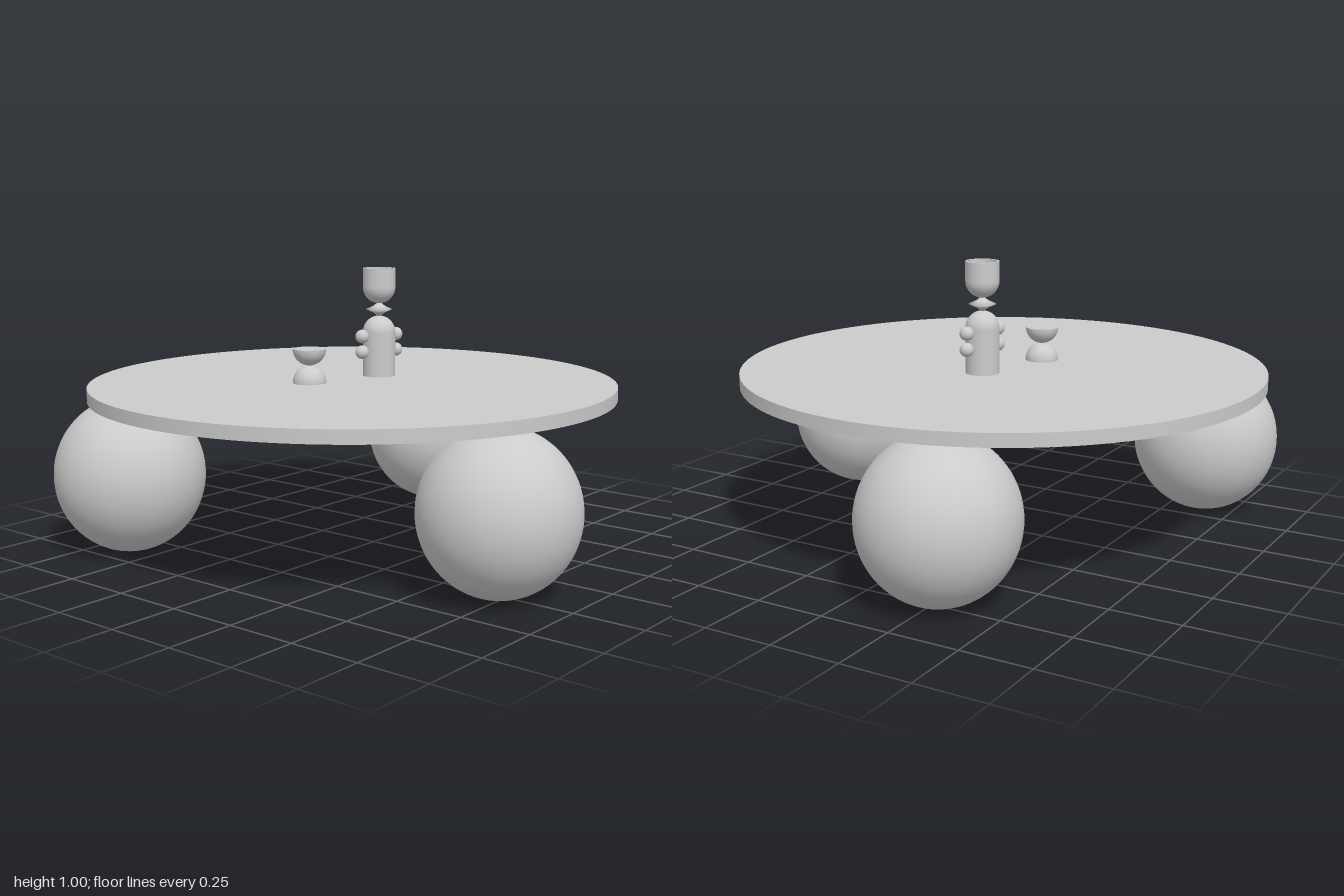
import * as THREE from 'three';

export function createModel() {
  const model = new THREE.Group();
  const material = new THREE.MeshStandardMaterial({ color: 0xcccccc });
  const add = (parent, name, geometry, x = 0, y = 0, z = 0) => {
    const mesh = new THREE.Mesh(geometry, material);
    mesh.name = name;
    mesh.position.set(x, y, z);
    parent.add(mesh);
    return mesh;
  };
  const group = (name, x, y, z) => {
    const g = new THREE.Group();
    g.name = name;
    g.position.set(x, y, z);
    model.add(g);
    return g;
  };
  const HALF = Math.PI / 2;
  const dome = (r) => new THREE.SphereGeometry(r, 48, 16, 0, Math.PI * 2, 0, HALF);
  const bowl = (r) => new THREE.SphereGeometry(r, 48, 16, 0, Math.PI * 2, HALF, HALF);
  const disc = (r) => new THREE.CircleGeometry(r, 48).rotateX(-HALF);

  // Round table top
  const cx = -0.053, cz = -0.053, topY = 0.608;
  add(model, 'tableTop', new THREE.CylinderGeometry(0.947, 0.947, 0.046, 128), cx, topY - 0.023, cz);

  // Three ball feet, slightly taller than wide
  for (let i = 0; i < 3; i++) {
    const a = THREE.MathUtils.degToRad(-15 + i * 120);
    const foot = add(model, 'ballFoot', new THREE.SphereGeometry(0.27, 64, 40),
      cx + 0.807 * Math.cos(a), 0.281, cz + 0.807 * Math.sin(a));
    foot.scale.y = 0.281 / 0.27;
  }

  // Small goblet: domed base below a half-round bowl
  const goblet = group('goblet', -0.198, topY, -0.135);
  add(goblet, 'gobletBase', dome(0.06), 0, 0.003, 0);
  add(goblet, 'gobletBaseSkirt', new THREE.CylinderGeometry(0.06, 0.06, 0.003, 48, 1, true), 0, 0.0015, 0);
  add(goblet, 'gobletBowl', bowl(0.06), 0, 0.123, 0);
  add(goblet, 'gobletRim', disc(0.06), 0, 0.123, 0);

  // Tall vessel: body, shoulder, pinched collar and cup
  const vessel = group('vessel', 0.1, topY, -0.055);
  add(vessel, 'vesselBody', new THREE.CylinderGeometry(0.06, 0.06, 0.162, 48), 0, 0.081, 0);
  add(vessel, 'vesselShoulder', dome(0.06), 0, 0.162, 0);
  const collar = [[0.004, 0.22], [0.022, 0.234], [0.048, 0.246], [0.022, 0.258], [0.004, 0.272]];
  add(vessel, 'collar', new THREE.LatheGeometry(collar.map(([r, y]) => new THREE.Vector2(r, y)), 48));

  // Cup with a hollow mouth
  const cupBase = 0.328, cupTop = 0.397, floorY = 0.365, inner = 0.052;
  add(vessel, 'cupBottom', bowl(0.06), 0, cupBase, 0);
  add(vessel, 'cupWall', new THREE.CylinderGeometry(0.06, 0.06, cupTop - cupBase, 48, 1, true), 0, (cupBase + cupTop) / 2, 0);
  add(vessel, 'cupRim', new THREE.RingGeometry(inner, 0.06, 48).rotateX(-HALF), 0, cupTop, 0);
  const lining = new THREE.LatheGeometry([new THREE.Vector2(inner, cupTop), new THREE.Vector2(inner, floorY)], 48);
  add(vessel, 'cupLining', lining);
  add(vessel, 'cupFloor', disc(inner), 0, floorY, 0);

  // Two pairs of round knobs on opposite sides
  for (const side of [-1, 1]) {
    for (const y of [0.092, 0.15]) {
      add(vessel, 'knob', new THREE.SphereGeometry(0.025, 32, 20), side * 0.074, y, side * 0.02);
    }
  }
  return model;
}
